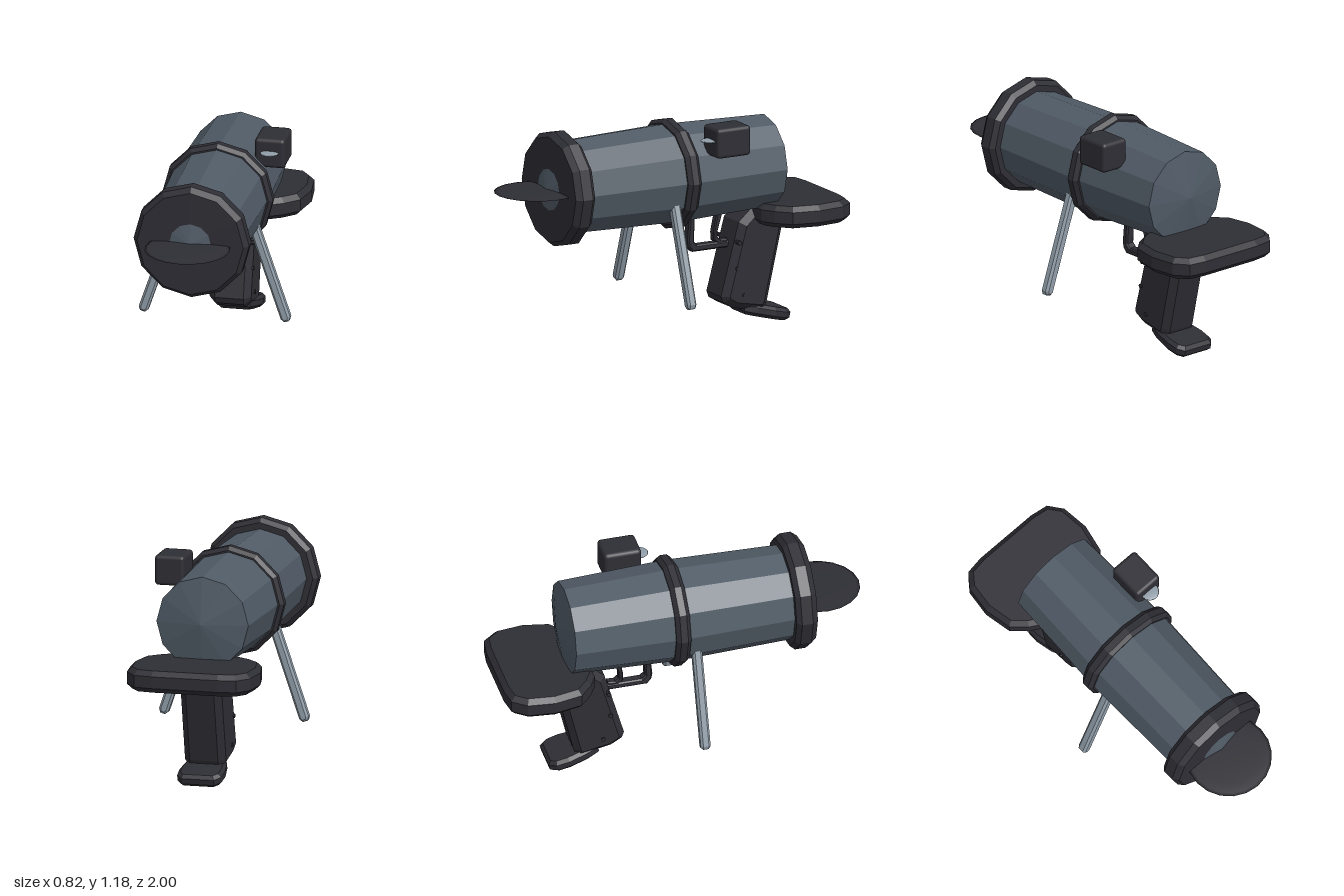
import * as THREE from 'three';
import { RoundedBoxGeometry } from 'three/addons/geometries/RoundedBoxGeometry.js';

const mat = (name, color) => {
  const m = new THREE.MeshStandardMaterial({ color });
  m.name = name;
  return m;
};

// Give every face its own normal for a faceted look
function faceted(geo) {
  const g = geo.index ? geo.toNonIndexed() : geo;
  g.computeVertexNormals();
  return g;
}

// Twelve-sided turned part along z; profile is [radius, z] with z rising
function turned(profile) {
  const pts = profile.map(([r, z]) => new THREE.Vector2(r, z));
  return faceted(new THREE.LatheGeometry(pts, 12).rotateX(Math.PI / 2));
}

// Bevelled slab of a 2D outline, centred on its thickness
function slab(outline, thickness, bevel) {
  const shape = new THREE.Shape(outline.map(([a, b]) => new THREE.Vector2(a, b)));
  const depth = thickness - 2 * bevel;
  const g = new THREE.ExtrudeGeometry(shape, {
    depth, bevelEnabled: bevel > 0, bevelThickness: bevel,
    bevelSize: bevel, bevelOffset: -bevel, bevelSegments: 1,
  });
  return g.translate(0, 0, -depth / 2);
}
const sideSlab = (zy, width, bevel) => slab(zy, width, bevel).rotateY(-Math.PI / 2);
const flatSlab = (xz, height, bevel) => slab(xz, height, bevel).rotateX(Math.PI / 2);

// Complete a half outline by mirroring it across x = 0
const mirrored = (half) => [...half, ...half.map(([x, z]) => [-x, z]).reverse()];

export function createModel() {
  const group = new THREE.Group();
  const dark = mat('charcoal', 0x2e2e35);
  const steel = mat('slate steel', 0x505b66);
  const light = mat('pale steel', 0x909da8);

  const add = (name, geo, material, x = 0, y = 0, z = 0) => {
    const m = new THREE.Mesh(geo, material);
    m.name = name;
    m.position.set(x, y, z);
    group.add(m);
    return m;
  };
  const axisY = 0.873;

  // Barrel with shallow cone ends and two bands
  add('barrel', turned([[0, -0.665], [0.252, -0.62], [0.272, -0.03], [0.255, 0.6], [0.25, 0.672], [0, 0.72]]),
    steel, 0, axisY);
  add('muzzleRing', turned([[0, 0.58], [0.29, 0.58], [0.313, 0.605], [0.313, 0.665], [0.288, 0.697], [0, 0.699]]),
    dark, 0, axisY);
  add('middleBand', turned([[0.25, -0.077], [0.28, -0.077], [0.3, -0.055], [0.3, -0.017], [0.28, 0.004], [0.25, 0.004]]),
    dark, 0, axisY);

  // Thin round blade in front of the muzzle
  add('muzzleBlade', new THREE.SphereGeometry(0.228, 20, 8).scale(1, 0.04, 1), dark, 0, 0.873, 0.771);

  // Sight with a small lens
  add('sightBox', new RoundedBoxGeometry(0.163, 0.163, 0.205, 2, 0.02), dark, 0.254, 1.085, -0.248);
  add('sightLens', new THREE.SphereGeometry(0.05, 14, 8).scale(1, 0.18, 1), light, 0.255, 1.092, -0.14);

  // Splayed front legs
  const top = new THREE.Vector3(0.212, 0.75, 0.05);
  const foot = new THREE.Vector3(0.391, 0.222, 0.05);
  const length = top.distanceTo(foot);
  const tilt = Math.atan2(foot.x - top.x, top.y - foot.y);
  const w = 0.054, h = length / 2;
  for (const s of [1, -1]) {
    const outline = [[-w / 2, h], [w / 2, h], [w / 2, 0.02 - h], [w / 4, -h], [-w / 4, -h], [-w / 2, 0.02 - h]];
    const leg = add(s > 0 ? 'leftLeg' : 'rightLeg', slab(outline, w, 0.012), light,
      s * (top.x + foot.x) / 2, (top.y + foot.y) / 2, 0.05);
    leg.rotation.z = s * tilt;
  }

  // Shoulder pad
  add('shoulderPad', flatSlab(mirrored([
    [0.18, -0.5], [0.25, -0.54], [0.325, -0.61], [0.355, -0.76], [0.338, -0.91], [0.28, -0.985], [0.18, -1],
  ]), 0.118, 0.027), dark, 0, 0.622, 0);

  // Slanted grip and the foot plate below it
  add('grip', sideSlab([
    [-0.5, 0.645], [-0.42, 0.575], [-0.312, 0.18], [-0.325, 0.145], [-0.385, 0.11], [-0.57, 0.075],
    [-0.59, 0.12], [-0.685, 0.53], [-0.665, 0.645],
  ], 0.225, 0.035), dark);
  const plate = add('gripFoot', flatSlab(mirrored([
    [0.085, 0.14], [0.11, 0.07], [0.125, -0.03], [0.12, -0.1], [0.09, -0.14],
  ]), 0.066, 0.018), dark, 0, 0.067, -0.59);
  plate.rotation.x = -0.24;

  // Trigger guard and trigger
  add('triggerGuard', sideSlab([
    [-0.155, 0.64], [-0.14, 0.49], [-0.147, 0.455], [-0.17, 0.43], [-0.4, 0.43], [-0.4, 0.466],
    [-0.2, 0.466], [-0.18, 0.485], [-0.187, 0.64],
  ], 0.052, 0.008), dark);
  add('trigger', sideSlab([
    [-0.325, 0.64], [-0.3, 0.52], [-0.302, 0.475], [-0.33, 0.455], [-0.385, 0.455], [-0.385, 0.478],
    [-0.345, 0.476], [-0.326, 0.492], [-0.326, 0.525], [-0.36, 0.64],
  ], 0.045, 0.006), dark);

  // Pins through the grip
  for (const [y, z] of [[0.47, -0.405], [0.33, -0.395], [0.18, -0.435]]) {
    add('gripPin', faceted(new THREE.CylinderGeometry(0.012, 0.012, 0.238, 8).rotateZ(Math.PI / 2)), dark, 0, y, z);
  }

  return group;
}
